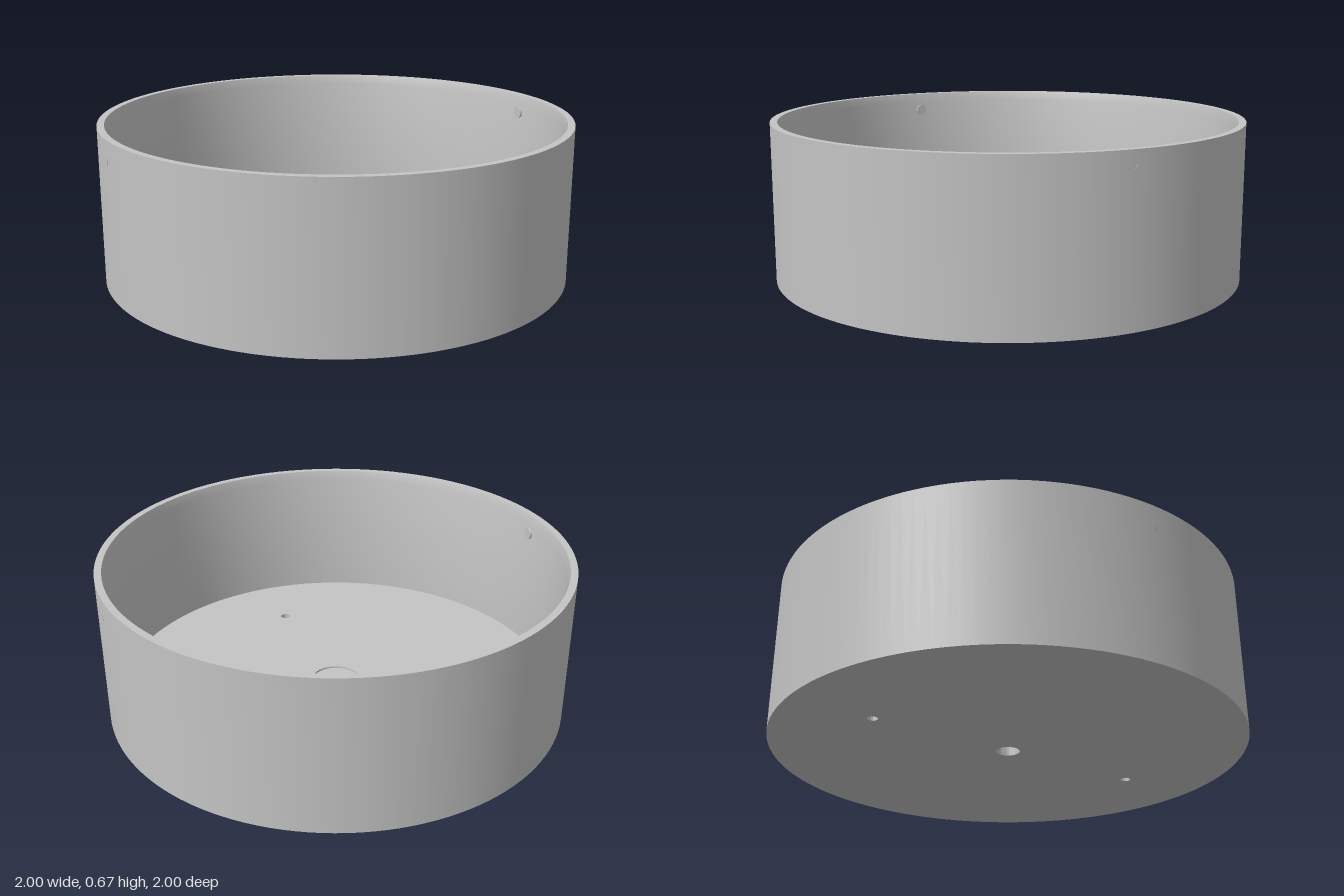
import * as THREE from 'three';
import { toCreasedNormals } from 'three/addons/utils/BufferGeometryUtils.js';

const SEGMENTS = 128;
const HEIGHT = 0.67, FLOOR = 0.05, INNER = 0.96;

export function createModel() {
  const model = new THREE.Group();
  const grey = new THREE.MeshStandardMaterial({ color: 0xc4c4c4 });
  grey.name = 'plain grey';

  const add = (name, geometry) => {
    const mesh = new THREE.Mesh(toCreasedNormals(geometry, 0.5), grey);
    mesh.name = name;
    model.add(mesh);
    return mesh;
  };
  const lathe = (points) =>
    new THREE.LatheGeometry(points.map(([r, y]) => new THREE.Vector2(r, y)), SEGMENTS);

  // Round wall with a bevelled inner lip
  add('wall', lathe([
    [INNER, 0], [1, 0], [1, HEIGHT], [0.97, HEIGHT], [INNER, HEIGHT - 0.04], [INNER, FLOOR - 0.01],
  ]));

  // Floor disc with two screw holes and an opening for the hub
  const disc = new THREE.Shape().absarc(0, 0, INNER, 0, Math.PI * 2, false);
  for (const [x, z, r] of [[0, 0, 0.105], [-0.165, -0.617, 0.022], [0.165, 0.617, 0.022]]) {
    disc.holes.push(new THREE.Path().absarc(x, -z, r, 0, Math.PI * 2, true));
  }
  const floor = new THREE.ExtrudeGeometry(disc, {
    depth: FLOOR, bevelEnabled: false, curveSegments: SEGMENTS / 2,
  });
  floor.rotateX(-Math.PI / 2);
  add('floor', floor);

  // Slightly recessed hub around the centre hole
  const hubTop = FLOOR - 0.008;
  add('hub', lathe([[0.05, 0], [0.105, 0], [0.105, hubTop], [0.05, hubTop], [0.05, 0]]));

  // Small pins set through the wall on opposite sides
  for (const side of [1, -1]) {
    const pin = new THREE.CylinderGeometry(0.025, 0.025, 0.05, 24);
    pin.rotateZ(-Math.PI / 2);
    pin.translate(0.976, 0.59, 0);
    pin.rotateY(0.27 + (side < 0 ? Math.PI : 0));
    add(side > 0 ? 'leftPin' : 'rightPin', pin);
  }

  return model;
}
